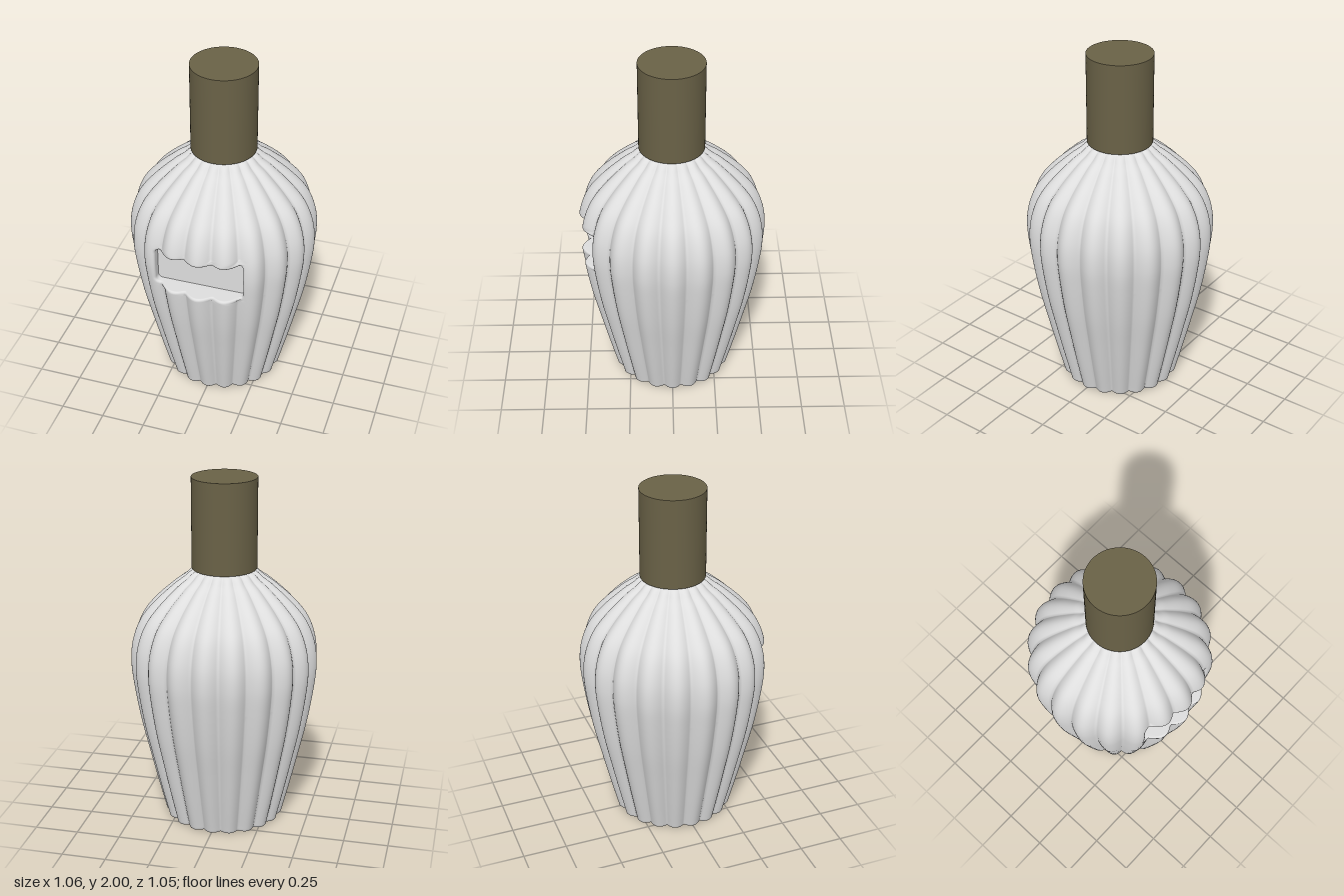
import * as THREE from 'three';

const LOBES = 20, COLS = 240, HALF = 22;          // flutes, columns, half-width of the opening in columns
const STEP = Math.PI * 2 / COLS;
const HOLE = { y0: 0.785, y1: 1.07, rows: 30 };   // opening left in the grid around the label pocket
const POCKET = { x: -0.008, y: 0.927, hx: 0.252, hy: 0.112, r: 0.025, z: 0.385, fillet: 0.013 };

// Outer radius over the height
const profile = new THREE.SplineCurve([
  [0.345, 0.02], [0.39, 0.2], [0.437, 0.4], [0.482, 0.6], [0.515, 0.8], [0.529, 0.95], [0.516, 1.08],
  [0.47, 1.2], [0.39, 1.3], [0.28, 1.4], [0.225, 1.44], [0.175, 1.48], [0.1, 1.5],
].map(([r, y]) => new THREE.Vector2(r, y))).getPoints(300);

function radiusAt(y) {
  let i = 1;
  while (i < profile.length - 1 && profile[i].y < y) i++;
  const a = profile[i - 1], b = profile[i];
  return THREE.MathUtils.lerp(a.x, b.x, THREE.MathUtils.clamp((y - a.y) / (b.y - a.y), 0, 1));
}

// Point on the fluted surface
function surface(angle, y, radius = radiusAt(y)) {
  const r = radius * (1 - 0.078 * (1 - Math.abs(Math.cos(angle * LOBES / 2))));
  return new THREE.Vector3(r * Math.sin(angle), y, r * Math.cos(angle));
}

// Point on the rounded pocket outline, grown by d; (u, v) lies on the edge of the square -1..1
function outline(u, v, d) {
  const { hx, hy, r } = POCKET;
  const p = new THREE.Vector2(u * hx, v * hy);
  const core = new THREE.Vector2(
    THREE.MathUtils.clamp(p.x, r - hx, hx - r), THREE.MathUtils.clamp(p.y, r - hy, hy - r));
  p.sub(core).setLength(r + d).add(core);
  return p.add(new THREE.Vector2(POCKET.x, POCKET.y));
}

function buildBody() {
  const pos = [], index = [];
  const add = p => pos.push(p.x, p.y, p.z) / 3 - 1;
  const quad = (a, b, c, d) => index.push(a, b, c, a, c, d);

  // Rows: rounded foot, lower body, pocket zone, shoulder
  const rows = [[0, 0.315], [0, 0.328], [0.003, 0.337], [0.01, 0.343]];
  const span = (from, to, n) => {
    for (let i = 0; i < n; i++) {
      const y = from + (to - from) * i / n;
      rows.push([y, radiusAt(y)]);
    }
  };
  span(0.02, HOLE.y0, 24);
  const i0 = rows.length;
  span(HOLE.y0, HOLE.y1, HOLE.rows);
  const i1 = rows.length;
  span(HOLE.y1, 1.5, 36);
  rows.push([1.5, 0.1]);

  for (const [y, r] of rows) for (let j = 0; j < COLS; j++) add(surface(j * STEP, y, r));
  const at = (i, j) => i * COLS + (j + COLS) % COLS;
  for (let i = 0; i < rows.length - 1; i++) {
    for (let j = -COLS / 2; j < COLS / 2; j++) {
      if (i >= i0 && i < i1 && j >= -HALF && j < HALF) continue;
      quad(at(i, j), at(i, j + 1), at(i + 1, j + 1), at(i + 1, j));
    }
  }
  // Underside
  const centre = add(new THREE.Vector3());
  for (let j = 0; j < COLS; j++) index.push(centre, at(0, j + 1), at(0, j));

  // Edge of the opening, counter-clockwise
  const edge = [];
  for (let j = -HALF; j < HALF; j++) edge.push([i0, j]);
  for (let i = i0; i < i1; i++) edge.push([i, HALF]);
  for (let j = HALF; j > -HALF; j--) edge.push([i1, j]);
  for (let i = i1; i > i0; i--) edge.push([i, -HALF]);

  // Rings from the opening to the pocket rim, over the fillet and down the wall
  const rings = [edge.map(([i, j]) => at(i, j))];
  const { fillet } = POCKET;
  const square = edge.map(([i, j]) => [j / HALF, 2 * (i - i0) / HOLE.rows - 1]);
  const onSurface = (k, t) => {
    const [i, j] = edge[k];
    const rim = outline(...square[k], fillet);
    const rimAngle = Math.asin(rim.x / 0.505);
    const p = surface(THREE.MathUtils.lerp(j * STEP, rimAngle, t), THREE.MathUtils.lerp(rows[i][0], rim.y, t));
    p.x += t * (rim.x - surface(rimAngle, rim.y).x);
    return p;
  };
  for (const t of [0.33, 0.67, 1]) rings.push(edge.map((e, k) => add(onSurface(k, t))));
  for (const deg of [30, 60, 90]) {
    const a = deg * Math.PI / 180;
    rings.push(edge.map((e, k) => {
      const o = outline(...square[k], fillet * (1 - Math.sin(a)));
      return add(new THREE.Vector3(o.x, o.y, onSurface(k, 1).z - fillet * (1 - Math.cos(a))));
    }));
  }
  const floorRing = square.map(([u, v]) => outline(u, v, 0));
  rings.push(floorRing.map(o => add(new THREE.Vector3(o.x, o.y, POCKET.z))));
  for (let n = 0; n < rings.length - 1; n++) {
    const a = rings[n], b = rings[n + 1];
    for (let k = 0; k < a.length; k++) {
      const m = (k + 1) % a.length;
      quad(a[k], a[m], b[m], b[k]);
    }
  }

  const geometry = new THREE.BufferGeometry();
  geometry.setAttribute('position', new THREE.Float32BufferAttribute(pos, 3));
  geometry.setIndex(index);
  geometry.computeVertexNormals();
  return { geometry, floorRing };
}

export function createModel() {
  const glass = new THREE.MeshStandardMaterial({ color: 0xdedede });
  glass.name = 'paleGrey';
  const capColour = new THREE.MeshStandardMaterial({ color: 0x6a6247 });
  capColour.name = 'oliveBrown';

  const model = new THREE.Group();
  model.name = 'bottle';
  const part = (name, geometry, material) => {
    const mesh = new THREE.Mesh(geometry, material);
    mesh.name = name;
    model.add(mesh);
    return mesh;
  };

  const { geometry, floorRing } = buildBody();
  part('flutedBody', geometry, glass);
  part('pocketFloor', new THREE.ShapeGeometry(new THREE.Shape(floorRing)), glass).position.z = POCKET.z;
  part('cap', new THREE.CylinderGeometry(0.182, 0.182, 0.51, 96), capColour).position.y = 1.745;
  return model;
}
